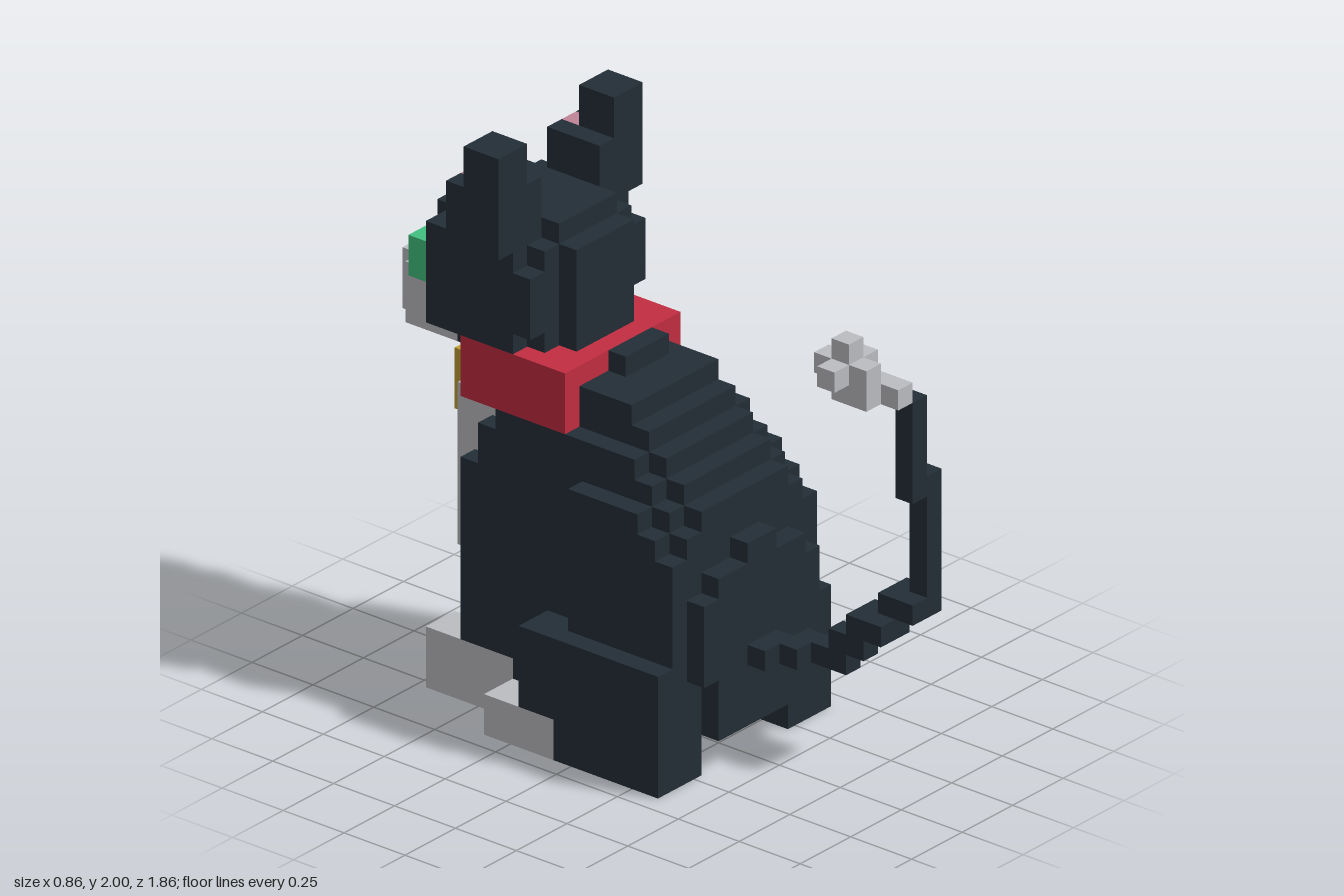
import * as THREE from 'three';

const U = 1 / 14; // one block of the grid

const material = (name, color) => {
  const m = new THREE.MeshStandardMaterial({ color });
  m.name = name;
  return m;
};

export function createModel() {
  const root = new THREE.Group();
  root.name = 'sittingCat';
  const fur = material('dark fur', 0x232e36);
  const white = material('pale grey fur', 0xbcbdc1);
  const red = material('red collar', 0xc22d40);
  const green = material('green eyes', 0x41c07f);
  const gold = material('gold bell', 0xbfa033);
  const pink = material('pink skin', 0xc08498);

  const group = (name) => {
    const g = new THREE.Group();
    g.name = name;
    root.add(g);
    return g;
  };
  // Box between two grid corners
  const box = (parent, name, mat, x0, x1, y0, y1, z0, z1) => {
    const geo = new THREE.BoxGeometry((x1 - x0) * U, (y1 - y0) * U, (z1 - z0) * U);
    const mesh = new THREE.Mesh(geo, mat);
    mesh.position.set((x0 + x1) / 2 * U, (y0 + y1) / 2 * U, (z0 + z1) / 2 * U);
    mesh.name = name;
    parent.add(mesh);
  };
  // Box centred on x
  const mid = (p, n, m, half, ...r) => box(p, n, m, -half, half, ...r);
  // Mirrored pair of boxes
  const pair = (p, n, m, x0, x1, ...r) => {
    box(p, n + 'Left', m, x0, x1, ...r);
    box(p, n + 'Right', m, -x1, -x0, ...r);
  };

  // Stepped back, narrowing towards the spine
  const body = group('body');
  const steps = [[-1, 1, 17], [1, 2, 16], [2, 3, 15], [3, 4, 14], [4, 5, 13]];
  for (const [z0, z1, top] of steps) {
    mid(body, 'spine', fur, 3, 2, top, z0, z1);
    mid(body, 'back', fur, 4, 3, Math.min(15, top - 1), z0, z1);
    mid(body, 'flank', fur, 5, 4, Math.min(13, top - 2), z0, z1);
  }
  mid(body, 'rumpTop', fur, 1, 9, 11, 5, 6);
  mid(body, 'rump', fur, 3, 2, 10, 5, 6);
  mid(body, 'rumpSide', fur, 4, 5, 9, 5, 6);
  box(body, 'nape', fur, -1, 2, 16, 18, -2, -1);

  // Shoulders and belly
  mid(body, 'neckBase', fur, 3, 14, 17, -2, -1);
  mid(body, 'belly', fur, 4, 3, 15, -3, -1);
  mid(body, 'bellyUnderside', fur, 3, 2, 3, -3, -1);
  mid(body, 'shoulders', fur, 4, 5, 15, -4, -3);
  mid(body, 'shoulders', fur, 4, 7, 15, -6, -4);
  mid(body, 'breast', fur, 4, 7, 14, -7, -6);
  mid(body, 'breast', fur, 4, 7, 12, -8, -7);

  // Pale bib
  const bib = group('bib');
  mid(bib, 'bibFront', white, 3, 7, 15, -9, -8);
  mid(bib, 'bibUpper', white, 3, 12, 15, -8, -7);
  mid(bib, 'bibTop', white, 3, 14, 15, -7, -6);

  // Legs and paws
  const legs = group('legs');
  pair(legs, 'hindLeg', fur, 3, 6, 2, 6, -3, 5);
  pair(legs, 'hindHeel', fur, 3, 6, 0, 2, -1, 5);
  pair(legs, 'hindPaw', white, 3, 6, 0, 2, -5, -1);
  pair(legs, 'frontLeg', fur, 2, 4, 3, 7, -8, -4);
  pair(legs, 'frontHeel', fur, 2, 4, 2, 3, -5, -4);
  pair(legs, 'frontPaw', white, 2, 4, 0, 3, -10, -5);

  // Collar and bell
  const collar = group('collar');
  mid(collar, 'collarBand', red, 4, 15, 18, -8, -2);
  mid(collar, 'bell', gold, 2, 13, 16, -10, -8);
  mid(collar, 'bellSlot', fur, 1, 12.95, 14, -10.05, -9);

  // Head
  const head = group('head');
  mid(head, 'skull', fur, 4, 18, 23, -10, -5);
  mid(head, 'skullBack', fur, 3, 18, 23, -5, -4);
  mid(head, 'skullBackSides', fur, 4, 19, 22, -5, -4);
  mid(head, 'skullRear', fur, 2, 18, 23, -4, -3);
  mid(head, 'crown', fur, 2, 23, 24, -10, -4);
  mid(head, 'brow', fur, 2, 20, 23, -11, -10);
  mid(head, 'throat', fur, 3, 17, 18, -9, -8);
  pair(head, 'eye', green, 2, 4, 20, 22, -11, -10);
  mid(head, 'muzzle', white, 3, 17, 20, -12, -9);
  mid(head, 'snout', white, 2, 17, 19, -13, -12);
  pair(head, 'snoutSide', white, 1, 2, 19, 20, -13, -12);
  mid(head, 'nose', pink, 1, 19, 20, -13, -12);

  // Ears with a pink strip in front
  const ears = group('ears');
  pair(ears, 'earBase', fur, 2, 5, 23, 26, -7, -5);
  pair(ears, 'earTip', fur, 3, 5, 26, 28, -7, -5);
  pair(ears, 'earOuterRim', fur, 4, 5, 23, 26, -8, -7);
  pair(ears, 'earInnerRim', fur, 2, 3, 23, 26, -8, -7);
  pair(ears, 'innerEar', pink, 3, 4, 23, 26, -8, -7);

  // Winding tail: x, y and z ranges of each segment
  const tail = group('tail');
  const segments = [
    [-1, 1, 5, 6, 6, 7], [0, 2, 5, 6, 7, 8], [1, 2, 5, 6, 8, 10],
    [1, 2, 6, 7, 9, 11], [1, 3, 7, 8, 10, 12], [2, 4, 8, 9, 11, 13],
    [3, 4, 9, 15, 12, 13], [2, 3, 14, 19, 12, 13],
  ];
  for (const s of segments) box(tail, 'tailSegment', fur, ...s);
  const tip = [
    [1, 2, 19, 20, 11, 13], [0, 1, 19, 20, 10, 12], [0, 1, 20, 21, 9, 12],
    [-1, 2, 20, 21, 10, 11], [0, 1, 21, 22, 10, 11],
  ];
  for (const s of tip) box(tail, 'tailTip', white, ...s);

  return root;
}
